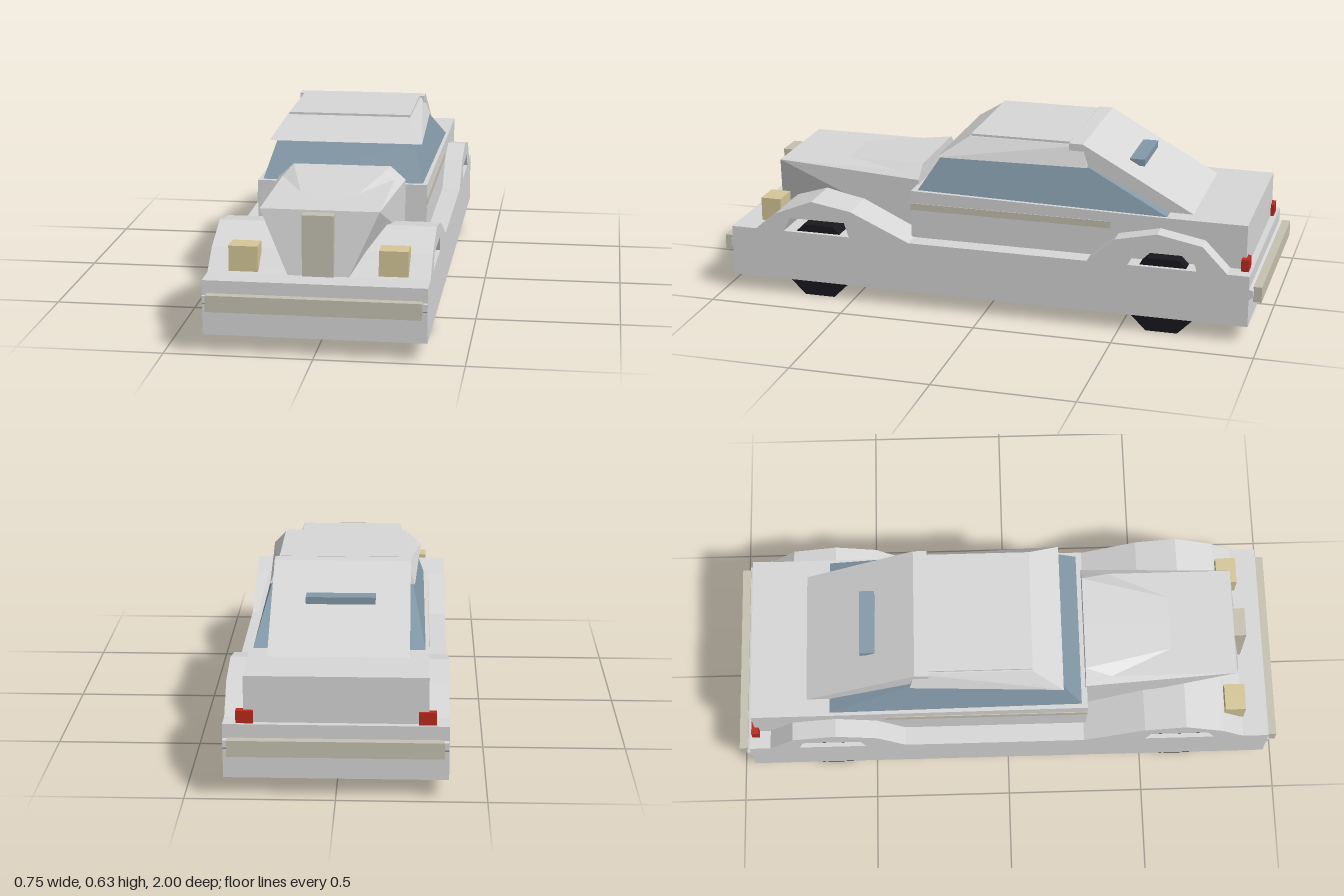
import * as THREE from 'three';
import { ConvexGeometry } from 'three/addons/geometries/ConvexGeometry.js';

const mat = (name, color) => {
  const m = new THREE.MeshStandardMaterial({ color });
  m.name = name;
  return m;
};

export function createModel() {
  const car = new THREE.Group();
  car.name = 'car';
  const paint = mat('silver paint', 0xd6d6d6);
  const glass = mat('blue glass', 0x8399a8);
  const trim = mat('dull chrome', 0xc5c1b1);
  const lamp = mat('headlight amber', 0xd4c698);
  const red = mat('tail light red', 0xb82a1e);
  const rubber = mat('tyre black', 0x17171d);

  const add = (name, geometry, material) => {
    const mesh = new THREE.Mesh(geometry, material);
    mesh.name = name;
    car.add(mesh);
    return mesh;
  };
  // Box given by its limits on each axis
  const box = (name, material, x0, x1, y0, y1, z0, z1) => {
    const g = new THREE.BoxGeometry(x1 - x0, y1 - y0, z1 - z0);
    g.translate((x0 + x1) / 2, (y0 + y1) / 2, (z0 + z1) / 2);
    return add(name, g, material);
  };
  // Side profile of [z, y] points, extruded across the car to x = +-w
  const across = (name, material, w, points) => {
    const shape = new THREE.Shape(points.map(([z, y]) => new THREE.Vector2(z, y)));
    const g = new THREE.ExtrudeGeometry(shape, { depth: 2 * w, bevelEnabled: false });
    g.rotateY(-Math.PI / 2).translate(w, 0, 0);
    return add(name, g, material);
  };
  // Convex solid from points on the left half, mirrored
  const convex = (name, material, points) => {
    const all = points.flatMap(([x, y, z]) => [new THREE.Vector3(x, y, z), new THREE.Vector3(-x, y, z)]);
    return add(name, new ConvexGeometry(all), material);
  };

  // Lower body and fenders with open wheel arches
  box('lowerBody', paint, -0.373, 0.373, 0.06, 0.247, -0.957, 0.965);
  across('frontFenders', paint, 0.373, [
    [0.87, 0.24], [0.87, 0.247], [0.79, 0.313], [0.65, 0.37], [0.5, 0.345], [0.28, 0.247], [0.28, 0.24],
    [0.505, 0.24], [0.525, 0.3], [0.735, 0.3], [0.765, 0.24],
  ]);
  across('rearFenders', paint, 0.373, [
    [-0.38, 0.24], [-0.38, 0.247], [-0.48, 0.337], [-0.63, 0.37], [-0.79, 0.34], [-0.88, 0.247], [-0.88, 0.24],
    [-0.775, 0.24], [-0.755, 0.3], [-0.545, 0.3], [-0.525, 0.24],
  ]);

  // Octagonal wheels running the full width
  for (const [name, z] of [['frontWheels', 0.633], ['rearWheels', -0.65]]) {
    const octagon = [];
    for (let i = 0; i < 8; i++) {
      const a = (i + 0.5) * Math.PI / 4;
      octagon.push([z + 0.148 * Math.cos(a), 0.137 + 0.148 * Math.sin(a)]);
    }
    across(name, rubber, 0.357, octagon);
  }

  // Cabin sides and boot
  across('cabinBody', paint, 0.305, [
    [0.29, 0.24], [0.29, 0.423], [-0.65, 0.408], [-0.935, 0.407], [-0.935, 0.24],
  ]);

  // Hood: left half as triangles, mirrored, each turned to face outward
  const A = [0.1, 0.24, 0.872], B = [0.2, 0.463, 0.835], C = [0.1, 0.463, 0.6], D = [0.175, 0.487, 0.285];
  const E = [0.228, 0.44, 0.285], F = [0.228, 0.24, 0.285], G = [0.2, 0.463, 0.38];
  const mid = ([, y, z]) => [0, y, z];
  const faces = [
    [A, B, mid(B)], [A, mid(B), mid(A)],
    [A, B, F], [B, E, F], [B, G, E],
    [B, C, mid(C)], [B, mid(C), mid(B)],
    [C, D, mid(D)], [C, mid(D), mid(C)],
    [B, G, C], [C, G, D], [G, E, D],
    [F, E, mid(F)], [E, D, mid(D)], [E, mid(D), mid(F)],
  ];
  const centre = new THREE.Vector3(0, 0.35, 0.55);
  const positions = [];
  for (const side of [1, -1]) {
    for (const face of faces) {
      const t = face.map(([x, y, z]) => new THREE.Vector3(side * x, y, z));
      const n = new THREE.Triangle(...t).getNormal(new THREE.Vector3());
      if (n.dot(t[0].clone().sub(centre)) < 0) t.reverse();
      t.forEach((v) => positions.push(v.x, v.y, v.z));
    }
  }
  const hood = new THREE.BufferGeometry();
  hood.setAttribute('position', new THREE.Float32BufferAttribute(positions, 3));
  hood.computeVertexNormals();
  add('hood', hood, paint);
  box('grille', trim, -0.053, 0.053, 0.245, 0.456, 0.83, 0.88);

  // Glasshouse, flared roof and sloping rear deck
  convex('windows', glass, [
    [0.294, 0.405, 0.28], [0.294, 0.405, -0.655], [0.248, 0.555, 0.185], [0.248, 0.555, -0.345],
  ]);
  convex('roof', paint, [
    [0.277, 0.55, 0.2], [0.255, 0.55, -0.35], [0.228, 0.624, 0.09], [0.228, 0.624, -0.33],
  ]);
  box('roofPanel', paint, -0.222, 0.222, 0.615, 0.632, -0.28, 0.085);
  across('rearDeck', paint, 0.24, [
    [-0.28, 0.605], [-0.28, 0.631], [-0.33, 0.631], [-0.738, 0.405], [-0.64, 0.405], [-0.345, 0.55], [-0.335, 0.605],
  ]);
  box('rearWindow', glass, -0.12, 0.12, 0.53, 0.555, -0.53, -0.475);

  // Bumpers on narrow supports
  for (const s of [1, -1]) {
    const end = s > 0 ? 'front' : 'rear';
    across(end + 'BumperSupport', paint, 0.372, [
      [s * 0.95, 0.155], [s * 0.972, 0.17], [s * 0.972, 0.195], [s * 0.95, 0.2],
    ]);
    const z = [s * 0.97, s].sort((a, b) => a - b);
    box(end + 'Bumper', trim, -0.357, 0.357, 0.149, 0.205, z[0], z[1]);
  }

  // Paired lights and side mouldings
  for (const s of [1, -1]) {
    const pair = (name, material, x0, x1, ...rest) =>
      box(name, material, Math.min(s * x0, s * x1), Math.max(s * x0, s * x1), ...rest);
    const side = s > 0 ? 'left' : 'right';
    pair(side + 'Headlight', lamp, 0.202, 0.3, 0.255, 0.342, 0.8, 0.875);
    pair(side + 'TailLight', red, 0.272, 0.33, 0.247, 0.29, -0.947, -0.92);
    pair(side + 'Moulding', trim, 0.3, 0.308, 0.352, 0.377, -0.45, 0.29);
  }
  return car;
}
